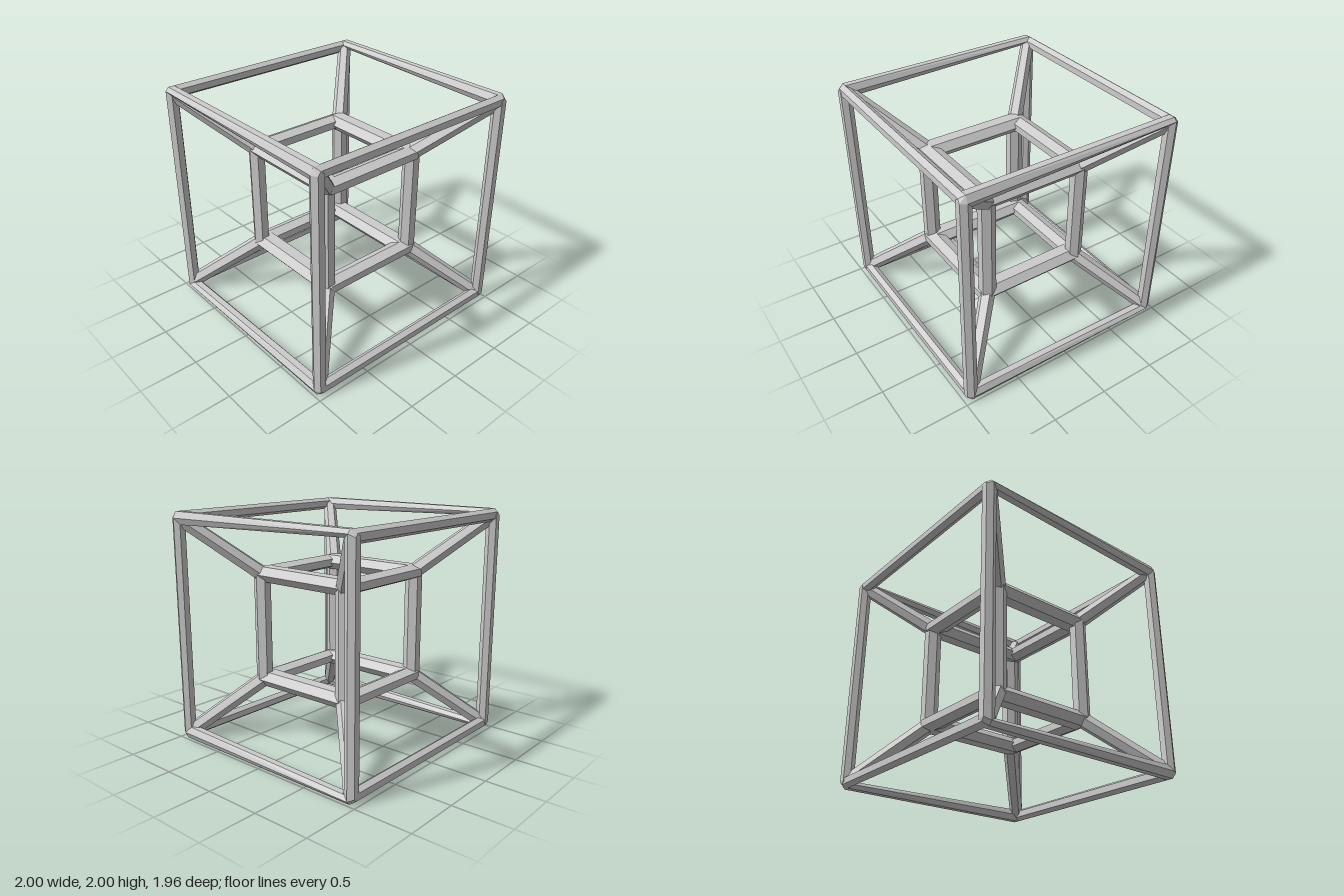
import * as THREE from 'three';
import { ConvexGeometry } from 'three/addons/geometries/ConvexGeometry.js';

const V = (x, y, z) => new THREE.Vector3(x, y, z);

export function createModel() {
  const model = new THREE.Group();
  const material = new THREE.MeshStandardMaterial({ color: 0xcccccc, flatShading: true });

  const add = (name, points) => {
    const mesh = new THREE.Mesh(new ConvexGeometry(points), material);
    mesh.name = name;
    model.add(mesh);
  };

  // Six-sided cross-section; ru is the reach along u, rv the reach along v
  const ring = (centre, u, ru, v, rv) => Array.from({ length: 6 }, (_, i) => {
    const a = i * Math.PI / 3;
    return centre.clone()
      .addScaledVector(u, ru * Math.cos(a))
      .addScaledVector(v, rv * Math.sin(a) / Math.sin(Math.PI / 3));
  });

  const X = V(1, 0, 0), Y = V(0, 1, 0), Z = V(0, 0, 1);

  // Cube frame: twelve bars and a faceted joint at each corner
  function cubeFrame(name, half, sections) {
    const joints = new Map();
    const node = (x, y, z) => V(x * half.x, 1 + y * half.y, z * half.z);
    const bar = (axis, a, b) => {
      const s = sections[axis];
      const ends = [a, b].map((sign) => {
        const c = node(...sign);
        // Pull the centre inward or outward and thin the rear end where asked
        const thin = sign[2] < 0 ? s.rearThin || 0 : 0;
        c.x -= sign[0] * (s.inset || 0);
        c.y += sign[1] * thin;
        const r = axis === 'x' ? ring(c, Y, s.ru, Z, s.rv)
          : axis === 'y' ? ring(c, X, s.ru, Z, s.rv)
            : ring(c, X, s.ru, Y, s.rv - thin);
        const key = sign.join();
        joints.set(key, (joints.get(key) || []).concat(r));
        return r;
      });
      add(name + 'Bar', ends.flat());
    };
    for (const p of [-1, 1]) {
      for (const q of [-1, 1]) {
        bar('x', [-1, p, q], [1, p, q]);
        bar('y', [p, -1, q], [p, 1, q]);
        bar('z', [p, q, -1], [p, q, 1]);
      }
    }
    for (const points of joints.values()) add(name + 'Joint', points);
  }

  cubeFrame('outerFrame', V(0.945, 0.945, 0.93), {
    x: { ru: 0.055, rv: 0.043 },
    y: { ru: 0.055, rv: 0.048 },
    z: { ru: 0.055, rv: 0.055, rearThin: 0.024 },
  });

  cubeFrame('innerFrame', V(0.468, 0.465, 0.455), {
    x: { ru: 0.065, rv: 0.078 },
    y: { ru: 0.07, rv: 0.065 },
    z: { ru: 0.105, rv: 0.065, inset: 0.035 },
  });

  // Diagonal struts joining matching corners of the two frames
  for (const x of [-1, 1]) for (const y of [-1, 1]) for (const z of [-1, 1]) {
    const outer = V(x * 0.93, 1 + y * 0.93, z * 0.915);
    const inner = V(x * 0.46, 1 + y * 0.46, z * 0.45);
    const dir = outer.clone().sub(inner).normalize();
    const u = dir.clone().cross(Y).normalize();
    const v = u.clone().cross(dir);
    add('diagonalStrut', [
      ...ring(inner, u, 0.068, v, 0.06),
      ...ring(outer, u, 0.06, v, 0.055),
    ]);
  }

  return model;
}
